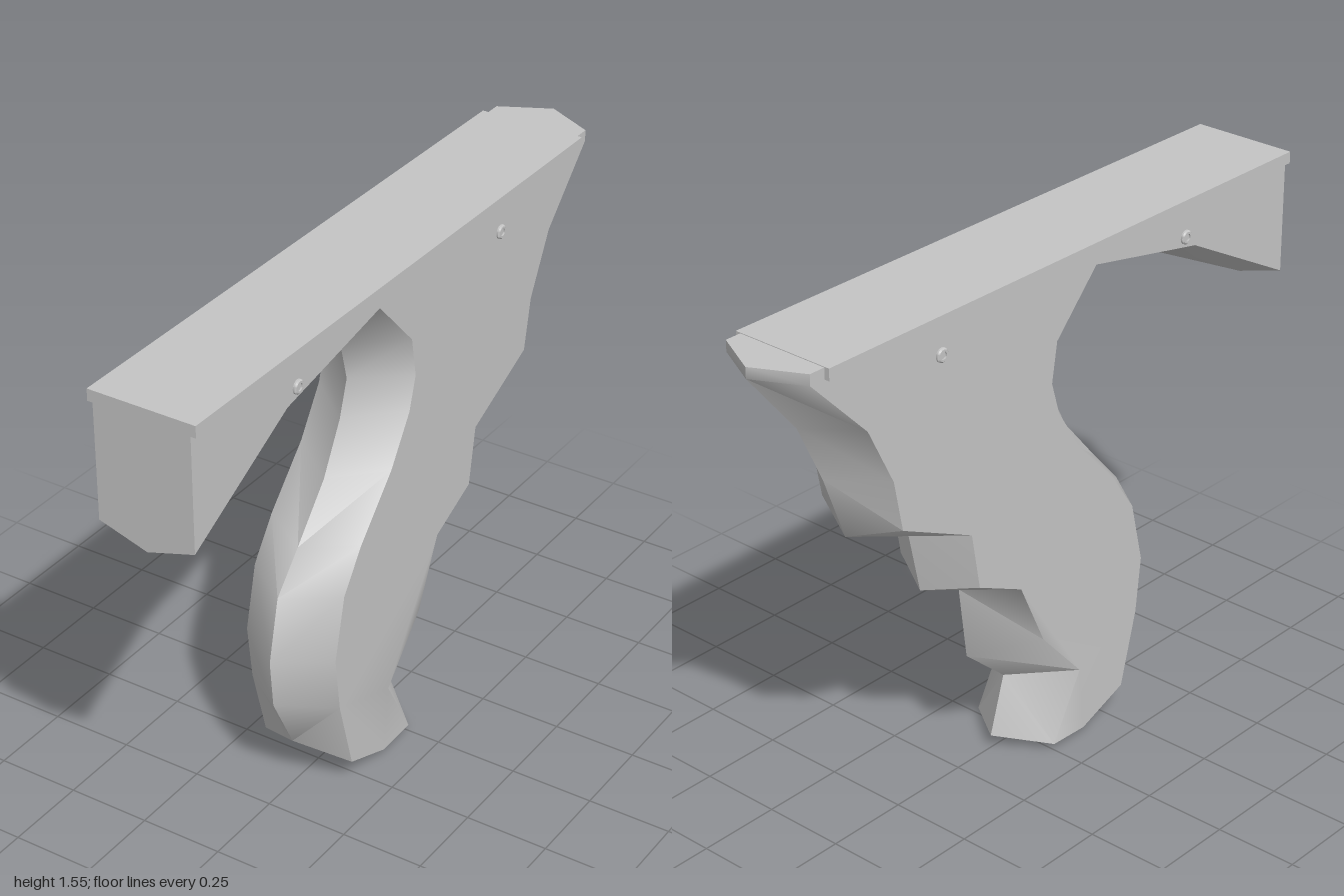
import * as THREE from 'three';
import { toCreasedNormals } from 'three/addons/utils/BufferGeometryUtils.js';

const HALF = 0.147;

// Outline pairs: side edge z, y and centre ridge z, y
const OUTLINE = [
  [1, 1.553, 1, 1.553],
  [1, 1.18, 1, 1.135],
  [0.59, 1.395, 0.59, 1.335],
  [0.16, 1.48, 0.28, 1.395],
  [0, 1.31, 0.125, 1.31],
  [-0.02, 1.19, 0.095, 1.19],
  [0.01, 1.09, 0.13, 1.08],
  [0.1, 0.95, 0.21, 0.93],
  [0.25, 0.79, 0.34, 0.78],
  [0.335, 0.67, 0.44, 0.67],
  [0.38, 0.48, 0.483, 0.48],
  [0.36, 0.31, 0.47, 0.33],
  [0.3, 0.085, 0.38, 0.15],
  [0.13, 0.02, -0.03, 0.005],
  [0, 0.025, -0.11, 0.045],
  [0.11, 0.225, -0.055, 0.225],
  [-0.05, 0.4, -0.21, 0.36],
  [-0.145, 0.605, -0.24, 0.59],
  [-0.315, 0.685, -0.395, 0.655],
  [-0.345, 0.86, -0.44, 0.86],
  [-0.61, 0.985, -0.675, 0.94],
  [-0.64, 1.14, -0.75, 1.14],
  [-0.73, 1.32, -0.835, 1.32],
  [-0.925, 1.52, -1, 1.52],
  [-0.925, 1.553, -1, 1.553],
];

// Two flat cheeks joined by facets that meet on a central ridge
function bodyGeometry() {
  const pos = [];
  const n = OUTLINE.length;
  const caps = THREE.ShapeUtils.triangulateShape(
    OUTLINE.map(([z, y]) => new THREE.Vector2(-z, y)), []);
  for (const s of [1, -1]) {
    const side = (i) => [s * HALF, OUTLINE[i][1], OUTLINE[i][0]];
    const mid = (i) => [0, OUTLINE[i][3], OUTLINE[i][2]];
    const tri = (a, b, c) => pos.push(...a, ...(s > 0 ? b : c), ...(s > 0 ? c : b));
    for (const [a, b, c] of caps) tri(side(a), side(b), side(c));
    for (let i = 0; i < n; i++) {
      const j = (i + 1) % n;
      tri(side(i), mid(i), mid(j));
      tri(side(i), mid(j), side(j));
    }
  }
  const geo = new THREE.BufferGeometry();
  geo.setAttribute('position', new THREE.Float32BufferAttribute(pos, 3));
  return toCreasedNormals(geo, 0.8);
}

export function createModel() {
  const model = new THREE.Group();
  model.name = 'gripFrame';
  const grey = new THREE.MeshStandardMaterial({ color: 0xc4c4c4 });
  grey.name = 'grey';

  const add = (name, geo, x = 0, y = 0, z = 0) => {
    const mesh = new THREE.Mesh(geo, grey);
    mesh.name = name;
    mesh.position.set(x, y, z);
    model.add(mesh);
    return mesh;
  };

  add('body', bodyGeometry());

  // Thin overhanging rail along the top
  add('topRail', new THREE.BoxGeometry(0.326, 0.035, 1.875), 0, 1.5375, 0.0625);

  // Pins with a raised rim and a sunken centre
  const profile = [[0, 0.004], [0.011, 0.004], [0.011, 0.009], [0.017, 0.009], [0.021, 0.005], [0.021, -0.005]]
    .reverse().map(([r, h]) => new THREE.Vector2(r, h));
  const pin = toCreasedNormals(new THREE.LatheGeometry(profile, 16), 0.6);
  for (const s of [1, -1]) {
    for (const z of [0.545, -0.455]) {
      add(s > 0 ? 'leftPin' : 'rightPin', pin, s * HALF, 1.435, z).rotation.z = -s * Math.PI / 2;
    }
  }
  return model;
}
